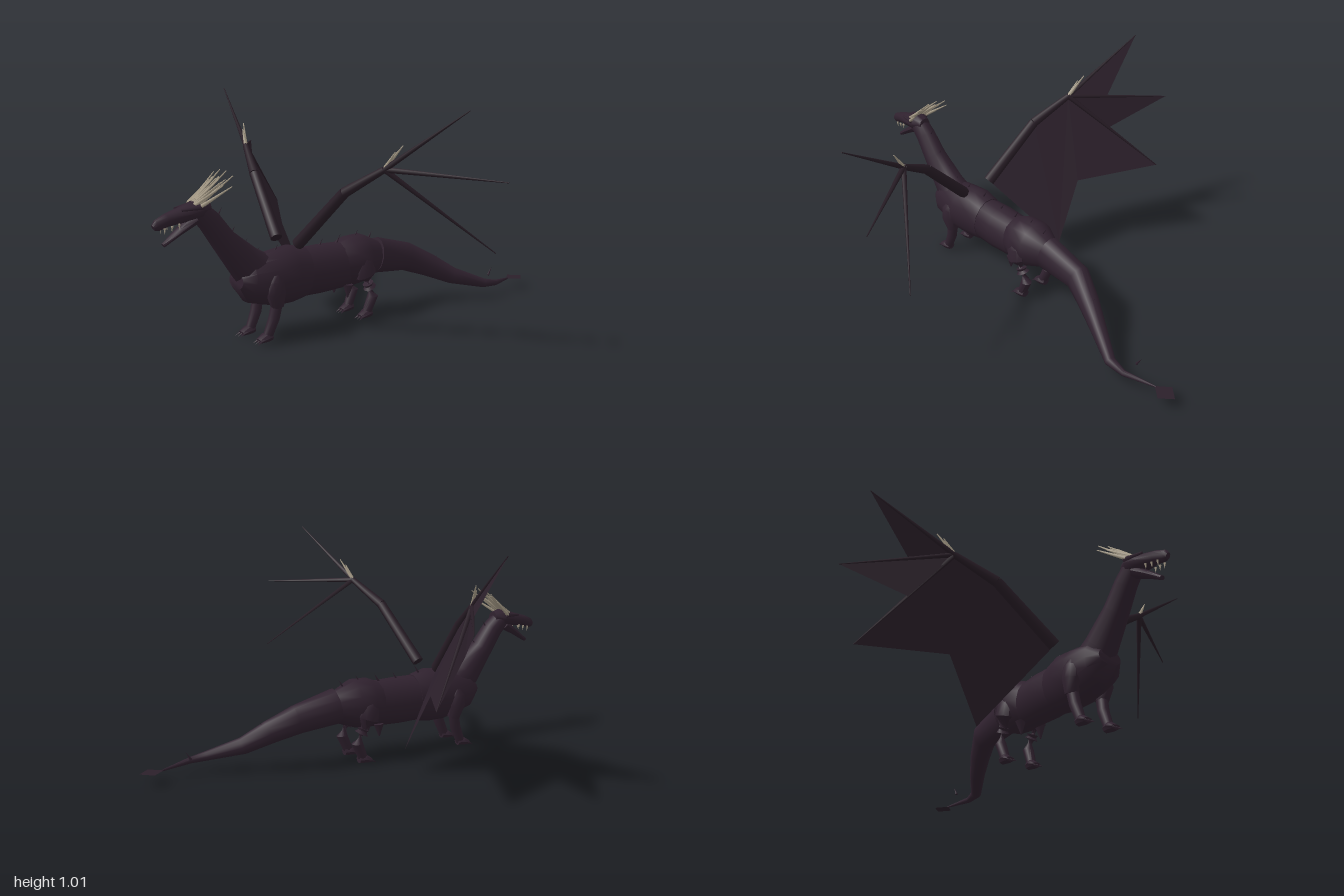
import * as THREE from 'three';
import { toCreasedNormals } from 'three/addons/utils/BufferGeometryUtils.js';

const mat = (name, color) => Object.assign(new THREE.MeshStandardMaterial({ color }), { name });
const V = (p) => new THREE.Vector3(...p);

// Skin through elliptical rings; each station is [x, y, z, half width, half height].
function loft(stations, sides = 12) {
  const pos = [], idx = [];
  const c = stations.map((s) => V(s.slice(0, 3)));
  stations.forEach((s, i) => {
    const t = c[Math.min(i + 1, c.length - 1)].clone().sub(c[Math.max(i - 1, 0)]).normalize();
    const ref = Math.abs(t.y) > 0.93 ? new THREE.Vector3(0, 0, 1) : new THREE.Vector3(0, 1, 0);
    const side = ref.cross(t).normalize();
    const up = t.clone().cross(side);
    for (let k = 0; k < sides; k++) {
      const a = (k / sides) * Math.PI * 2;
      const p = c[i].clone().addScaledVector(side, Math.cos(a) * s[3]).addScaledVector(up, Math.sin(a) * s[4]);
      pos.push(p.x, p.y, p.z);
    }
  });
  for (let i = 0; i < stations.length - 1; i++) {
    for (let k = 0; k < sides; k++) {
      const a = i * sides + k, b = i * sides + (k + 1) % sides;
      idx.push(a, b, b + sides, a, b + sides, a + sides);
    }
  }
  // end caps
  const last = (stations.length - 1) * sides;
  for (let k = 1; k < sides - 1; k++) {
    idx.push(0, k + 1, k, last, last + k, last + k + 1);
  }
  const g = new THREE.BufferGeometry();
  g.setAttribute('position', new THREE.Float32BufferAttribute(pos, 3));
  g.setIndex(idx);
  return toCreasedNormals(g, 0.75);
}

// Straight tapered rod from a to b.
function rod(a, b, r0, r1, sides = 6) {
  const d = V(b).sub(V(a));
  const g = new THREE.CylinderGeometry(r1, r0, d.length(), sides);
  g.translate(0, d.length() / 2, 0);
  g.applyQuaternion(new THREE.Quaternion().setFromUnitVectors(new THREE.Vector3(0, 1, 0), d.normalize()));
  return g.translate(...a);
}

// Thin sheet from a flat list of triangle corners.
function sheet(corners) {
  const g = new THREE.BufferGeometry();
  g.setAttribute('position', new THREE.Float32BufferAttribute(corners.flat(), 3));
  g.computeVertexNormals();
  return g;
}

export function createModel() {
  const model = new THREE.Group();
  model.name = 'dragon';
  const hide = mat('dark hide', 0x2f212e);
  const wingBone = mat('wing bone', 0x271c25);
  const skin = mat('wing membrane', 0x2b1f2a);
  skin.side = THREE.DoubleSide;
  const horn = mat('horn', 0xa59a86);

  const add = (name, geometry, material = hide, parent = model) => {
    const m = new THREE.Mesh(geometry, material);
    m.name = name;
    parent.add(m);
    return m;
  };

  // Torso: three overlapping segments
  add('chest', loft([
    [0, 0.27, 0.63, 0.055, 0.035], [0, 0.265, 0.58, 0.09, 0.095], [0, 0.255, 0.45, 0.104, 0.122],
    [0, 0.26, 0.36, 0.1, 0.128], [0, 0.255, 0.29, 0.09, 0.113]], 14));
  add('belly', loft([
    [0, 0.255, 0.32, 0.086, 0.108], [0, 0.255, 0.2, 0.094, 0.11], [0, 0.255, 0.04, 0.084, 0.105]], 14));
  add('hips', loft([
    [0, 0.255, 0.09, 0.086, 0.1], [0, 0.265, 0.03, 0.11, 0.115], [0, 0.27, -0.04, 0.106, 0.112],
    [0, 0.263, -0.13, 0.06, 0.075]], 14));

  // Neck and head
  add('neck', loft([
    [0, 0.29, 0.53, 0.075, 0.095], [0, 0.34, 0.585, 0.066, 0.08], [0, 0.45, 0.685, 0.053, 0.055],
    [0, 0.54, 0.75, 0.046, 0.05], [0, 0.6, 0.81, 0.042, 0.042]]));
  const head = new THREE.Group();
  head.name = 'head';
  model.add(head);
  add('skull', loft([
    [0, 0.6, 0.755, 0.03, 0.028], [0, 0.598, 0.8, 0.05, 0.043], [0, 0.586, 0.86, 0.042, 0.034],
    [0, 0.57, 0.94, 0.026, 0.027], [0, 0.553, 0.985, 0.018, 0.024], [0, 0.545, 1, 0.01, 0.014]], 10), hide, head);
  add('lowerJaw', loft([
    [0, 0.56, 0.82, 0.036, 0.025], [0, 0.52, 0.885, 0.026, 0.016], [0, 0.47, 0.96, 0.011, 0.009]], 8), hide, head);
  for (const s of [-1, 1]) {
    add('browRidge', rod([s * 0.042, 0.612, 0.8], [s * 0.03, 0.606, 0.89], 0.014, 0.005), hide, head);
    for (let i = 0; i < 3; i++) {
      const z = 0.9 + i * 0.03;
      add('tooth', rod([s * (0.026 - i * 0.004), 0.553 - i * 0.006, z], [s * (0.024 - i * 0.004), 0.528 - i * 0.006, z], 0.005, 0, 5), horn, head);
    }
  }
  // Crown of horns in two fanned rows
  for (let i = 0; i < 9; i++) {
    const t = i / 4 - 1;
    const arch = 1 - t * t;
    add('crownHorn', rod([t * 0.045, 0.615 + arch * 0.02, 0.81], [t * 0.1, 0.69 + arch * 0.03 + (i % 2) * 0.025, 0.7 - (i % 2) * 0.02], 0.0085, 0.002, 7), horn, head);
    if (i < 8) {
      const u = t + 0.125;
      add('crownHorn', rod([u * 0.035, 0.62, 0.83], [u * 0.075, 0.715 - u * u * 0.03, 0.72], 0.0075, 0.002, 7), horn, head);
    }
  }

  // Tail sweeping to the left, with a flat diamond tip
  add('tail', loft([
    [0.003, 0.268, -0.125, 0.069, 0.085], [0.005, 0.232, -0.32, 0.056, 0.068], [0.05, 0.18, -0.43, 0.047, 0.055],
    [0.1, 0.12, -0.54, 0.036, 0.04], [0.178, 0.075, -0.68, 0.025, 0.022], [0.183, 0.064, -0.76, 0.014, 0.014],
    [0.14, 0.054, -0.9, 0.003, 0.004]]));
  const [front, back, left, right] = [[0.14, 0.054, -0.893], [0.14, 0.054, -1], [0.187, 0.054, -0.948], [0.093, 0.054, -0.948]];
  add('tailTip', sheet([front, left, back, front, back, right]), skin);

  // Spines [x, y, z] leaning backwards
  const spines = [[0, 0.56, 0.715], [0, 0.475, 0.655], [0, 0.415, 0.595], [0, 0.37, 0.535], [0, 0.37, 0.44], [0, 0.38, 0.32],
    [0, 0.36, 0.2], [0, 0.365, 0.1], [0, 0.37, 0.0], [0, 0.355, -0.085], [0.06, 0.195, -0.45], [0.12, 0.095, -0.775]];
  for (const [x, y, z] of spines) {
    add('spine', rod([x, y - 0.008, z], [x, y + 0.032, z - 0.025], 0.006, 0, 6), hide);
  }

  for (const s of [-1, 1]) {
    const side = new THREE.Group();
    side.name = s > 0 ? 'leftLimbs' : 'rightLimbs';
    model.add(side);

    // Legs: upper part, shin and clawed foot
    const legs = [
      ['front', [[0.075, 0.285, 0.485, 0.022, 0.025], [0.08, 0.26, 0.487, 0.032, 0.042], [0.082, 0.21, 0.485, 0.034, 0.046], [0.075, 0.15, 0.475, 0.027, 0.03]],
        [[0.075, 0.175, 0.475, 0.024, 0.027], [0.07, 0.1, 0.49, 0.024, 0.026], [0.068, 0.02, 0.525, 0.02, 0.022]], 0.535],
      ['hind', [[0.075, 0.29, 0.01, 0.024, 0.03], [0.082, 0.265, 0.005, 0.032, 0.05], [0.084, 0.21, -0.005, 0.036, 0.053], [0.075, 0.145, -0.035, 0.028, 0.033]],
        [[0.075, 0.165, -0.025, 0.024, 0.028], [0.072, 0.1, -0.055, 0.024, 0.027], [0.068, 0.02, -0.02, 0.02, 0.022]], -0.015]];
    for (const [name, upper, lower, z] of legs) {
      const flip = (st) => st.map(([x, ...rest]) => [s * x, ...rest]);
      add(name + 'UpperLeg', loft(flip(upper), 10), hide, side);
      add(name + 'Shin', loft(flip(lower), 10), hide, side);
      add(name + 'Foot', loft([[s * 0.068, 0.022, z - 0.03, 0.02, 0.018], [s * 0.068, 0.022, z, 0.028, 0.021], [s * 0.068, 0.012, z + 0.032, 0.022, 0.01]], 8), hide, side);
      for (const k of [-1, 0, 1]) {
        add(name + 'Claw', rod([s * 0.068 + k * 0.015, 0.014, z + 0.025], [s * 0.068 + k * 0.02, 0.001, z + 0.052], 0.006, 0, 5), hide, side);
      }
    }
    add('hipSpur', rod([s * 0.05, 0.17, 0.07], [s * 0.05, 0.11, 0.075], 0.025, 0.003, 5), hide, side);

    // Wing arm, three fingers and thumb claws
    const P = ([x, y, z]) => [s * x, y, z];
    const root = P([0.08, 0.405, 0.37]), elbow = P([0.33, 0.655, 0.315]), wrist = P([0.5, 0.762, 0.25]);
    const tips = [[0.855, 1.01, 0.145], [0.895, 0.73, -0.035], [0.77, 0.42, -0.11]].map(P);
    add('upperWingArm', rod(root, elbow, 0.027, 0.023, 8), wingBone, side);
    add('lowerWingArm', rod(elbow, wrist, 0.023, 0.014, 8), wingBone, side);
    for (const tip of tips) add('wingFinger', rod(wrist, tip, 0.012, 0.002), wingBone, side);
    for (const tip of [[0.57, 0.86, 0.215], [0.548, 0.835, 0.235]]) {
      add('thumbClaw', rod(wrist, P(tip), 0.01, 0.002, 7), horn, side);
    }

    // Membrane on the right wing only
    if (s < 0) {
      const [a, b, c] = tips;
      const n1 = P([0.66, 0.75, 0.14]), n2 = P([0.64, 0.585, 0.115]), n3 = P([0.425, 0.38, 0.1]), d = P([0.27, 0.1, 0.07]);
      add('wingMembrane', sheet([wrist, a, n1, wrist, n1, b, wrist, b, n2, wrist, n2, c, wrist, c, n3,
        wrist, n3, d, wrist, d, elbow, elbow, d, root]), skin, side);
    }
  }
  return model;
}
